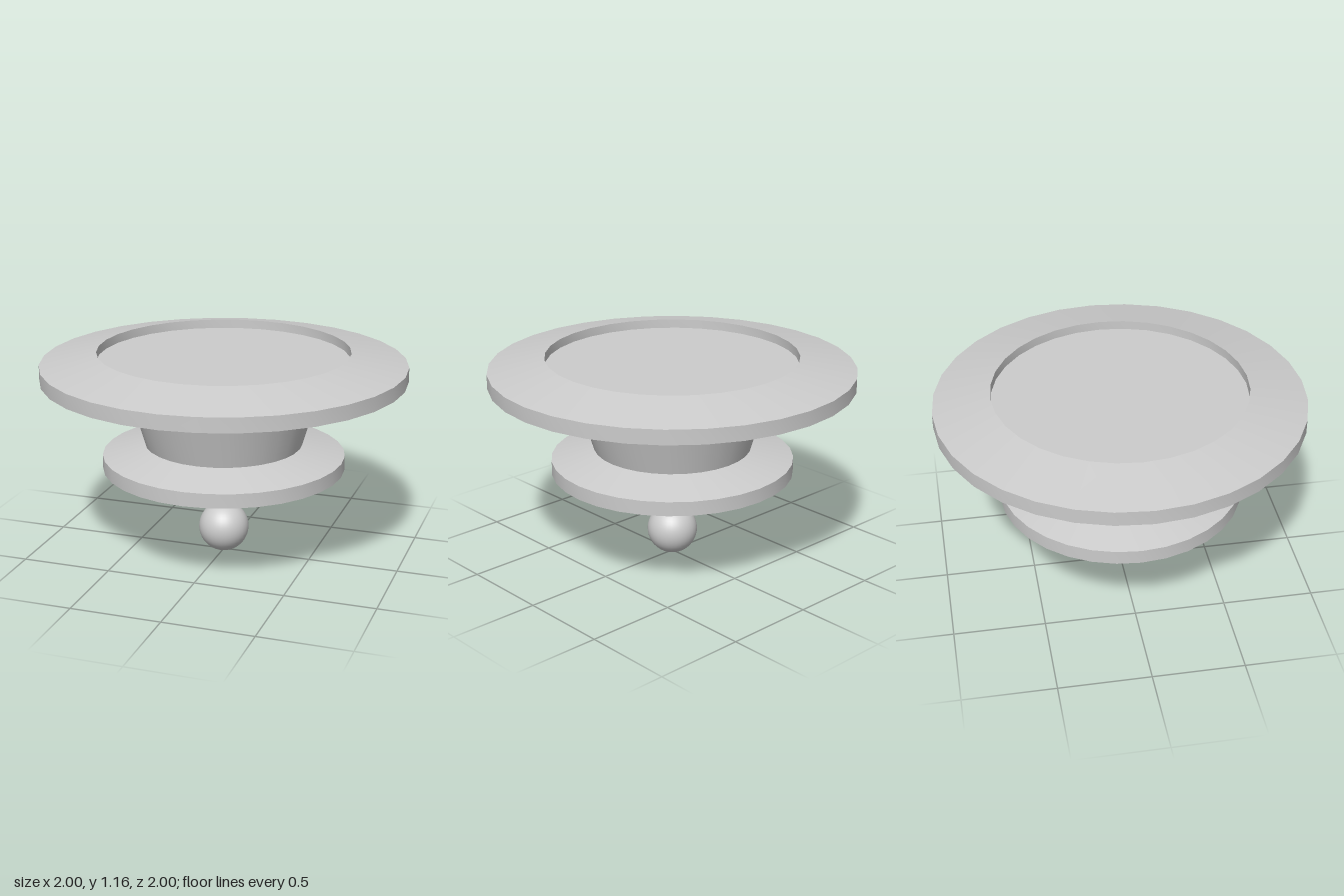
import * as THREE from 'three';
import { toCreasedNormals } from 'three/addons/utils/BufferGeometryUtils.js';

const material = new THREE.MeshStandardMaterial({ color: 0xcccccc, side: THREE.DoubleSide });

// Turned part from [radius, height] pairs, listed from bottom to top
function turned(name, profile) {
  const points = profile.map(([r, y]) => new THREE.Vector2(r, y));
  const mesh = new THREE.Mesh(toCreasedNormals(new THREE.LatheGeometry(points, 32), 0.6), material);
  mesh.name = name;
  return mesh;
}

export function createModel() {
  const group = new THREE.Group();
  group.name = 'turnedFixture';

  // Lower flange with a shallow dished underside
  group.add(turned('lowerFlange', [
    [0, 0.353], [0.19, 0.353], [0.445, 0.447], [0.67, 0.505], [0.67, 0.583], [0.435, 0.642],
  ]));

  // Tapered neck between the two flanges
  group.add(turned('neck', [[0.435, 0.642], [0.525, 0.952]]));

  // Wide upper rim with a recessed flat floor
  group.add(turned('upperRim', [
    [0.525, 0.952], [1, 1.02], [1, 1.1], [0.69, 1.165], [0.69, 1.115], [0, 1.115],
  ]));

  // Ball floating below
  const ball = new THREE.Mesh(new THREE.SphereGeometry(0.14, 32, 24), material);
  ball.name = 'ball';
  ball.position.y = 0.14;
  group.add(ball);

  return group;
}
